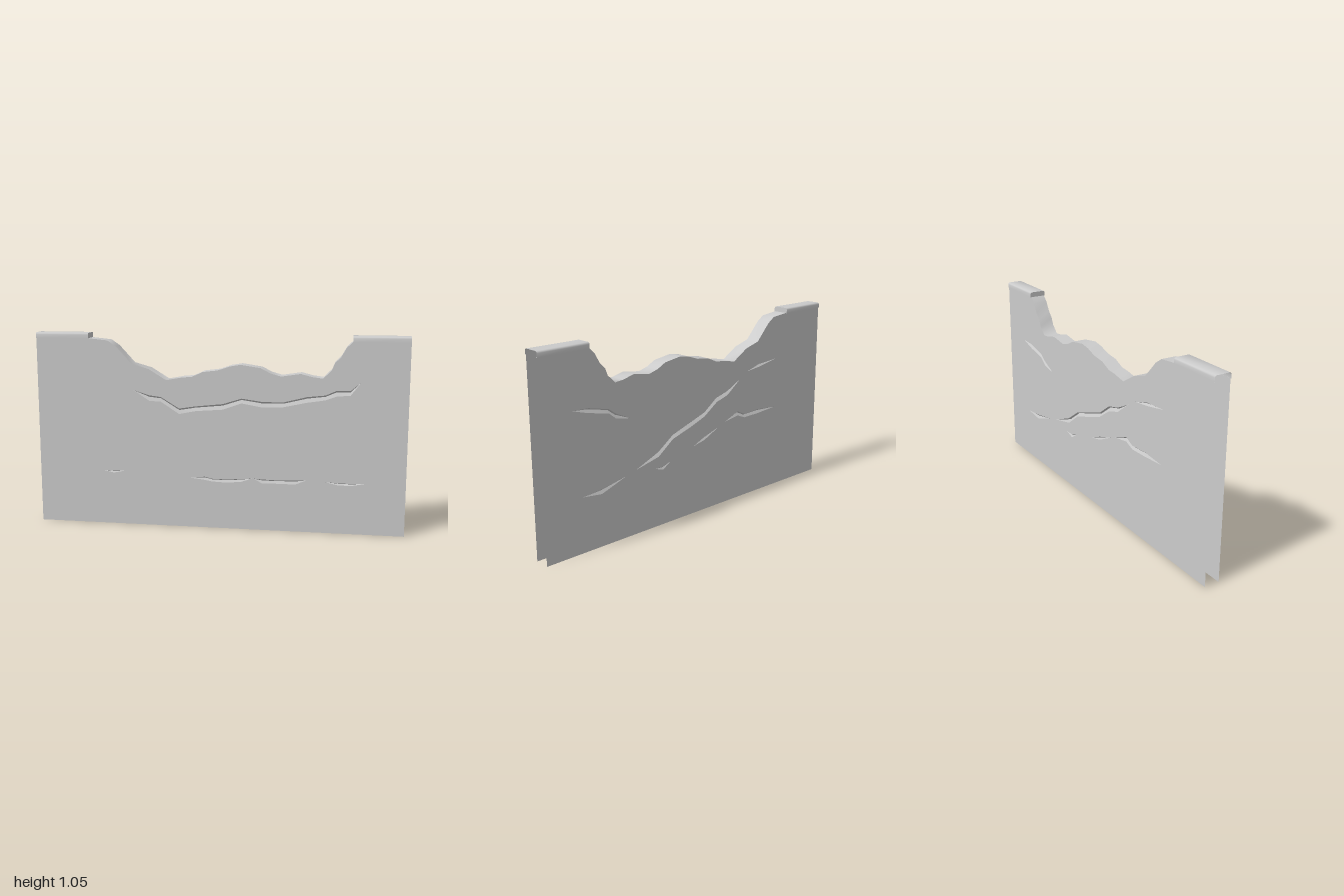
import * as THREE from 'three';
import { toCreasedNormals } from 'three/addons/utils/BufferGeometryUtils.js';

const FACE = 0.041; // half thickness of the wall
const TOP = 1.027;
const material = new THREE.MeshStandardMaterial({ color: 0xcccccc, side: THREE.DoubleSide });

// broken upper edge, left to right as [x, y]
const BROKEN = [
  [-0.71, TOP], [-0.6, 1.016], [-0.555, 0.985], [-0.47, 0.893], [-0.375, 0.866], [-0.28, 0.808],
  [-0.195, 0.824], [-0.14, 0.829], [-0.08, 0.856], [0, 0.866], [0.064, 0.888], [0.123, 0.898],
  [0.23, 0.882], [0.28, 0.856], [0.337, 0.84], [0.44, 0.856], [0.503, 0.84], [0.556, 0.834],
  [0.6, 0.877], [0.615, 0.914], [0.647, 0.947], [0.674, 0.995], [0.706, TOP],
];

// cracks: upper lip points by rising x, gap width and depth
const FRONT_CRACKS = [
  { width: 0.03, depth: 0.008, lip: [[-0.46, 0.75], [-0.375, 0.724], [-0.31, 0.716], [-0.21, 0.656],
    [-0.12, 0.67], [0.027, 0.686], [0.128, 0.718], [0.24, 0.703], [0.35, 0.703], [0.476, 0.735],
    [0.57, 0.745], [0.63, 0.772], [0.7, 0.772], [0.754, 0.818]] },
  { width: 0.018, depth: 0.006, lip: [[-0.15, 0.276], [-0.07, 0.285], [-0.03, 0.275], [0.05, 0.274],
    [0.13, 0.28], [0.185, 0.284]] },
  { width: 0.022, depth: 0.006, lip: [[0.195, 0.285], [0.24, 0.282], [0.3, 0.28], [0.42, 0.283], [0.48, 0.286]] },
  { width: 0.012, depth: 0.005, lip: [[0.575, 0.281], [0.65, 0.277], [0.72, 0.276], [0.8, 0.281]] },
  { width: 0.012, depth: 0.005, lip: [[-0.64, 0.301], [-0.58, 0.3], [-0.52, 0.301]] },
];
const BACK_CRACKS = [
  { width: 0.025, depth: 0.01, lip: [[0.463, 0.634], [0.557, 0.677], [0.6, 0.708], [0.723, 0.737], [0.817, 0.74]] },
  { width: 0.028, depth: 0.01, lip: [[-0.33, 0.7], [-0.23, 0.65], [-0.147, 0.63], [-0.053, 0.562],
    [0.047, 0.53], [0.18, 0.485], [0.28, 0.415], [0.435, 0.352]] },
  { width: 0.026, depth: 0.008, lip: [[0.5, 0.335], [0.657, 0.307], [0.778, 0.295]] },
  { width: 0.018, depth: 0.008, lip: [[-0.63, 0.772], [-0.496, 0.765], [-0.385, 0.734]] },
  { width: 0.018, depth: 0.006, lip: [[0.197, 0.342], [0.25, 0.326], [0.307, 0.326]] },
  { width: 0.018, depth: 0.006, lip: [[-0.163, 0.457], [-0.053, 0.423], [0.03, 0.387]] },
  { width: 0.024, depth: 0.008, lip: [[-0.623, 0.483], [-0.48, 0.496], [-0.368, 0.49], [-0.313, 0.516], [-0.208, 0.474]] },
];

// surface between two rows of [x, y, z] points
function ribbon(rowA, rowB) {
  const n = rowA.length;
  const index = [];
  for (let i = 0; i < n - 1; i++) index.push(i, i + 1, n + i, i + 1, n + i + 1, n + i);
  const geometry = new THREE.BufferGeometry();
  geometry.setAttribute('position', new THREE.Float32BufferAttribute([...rowA, ...rowB].flat(), 3));
  geometry.setIndex(index);
  geometry.computeVertexNormals();
  return geometry;
}

function addMesh(parent, geometry, name) {
  const mesh = new THREE.Mesh(geometry, material);
  mesh.name = name;
  parent.add(mesh);
  return mesh;
}

const toShapePoints = (points) => points.map(([x, y]) => new THREE.Vector2(x, y));
const flipX = (points) => points.map(([x, y]) => [-x, y]).reverse();

// one wall face at z = FACE, with cracks cut in as lopsided V grooves
function wallFace(edge, cracks, name) {
  const group = new THREE.Group();
  group.name = name;
  const shape = new THREE.Shape(toShapePoints([[-1, 0], [1, 0], [1, TOP], ...[...edge].reverse(), [-1, TOP]]));
  for (const { lip, width, depth } of cracks) {
    const last = lip.length - 1;
    const gap = (i) => (i === 0 || i === last ? 0 : width * (i % 2 ? 1 : 0.85));
    const lower = lip.map(([x, y], i) => [x, y - gap(i)]);
    shape.holes.push(new THREE.Path(toShapePoints([...lip, ...lower.slice(1, last).reverse()])));

    const top = lip.map(([x, y]) => [x, y, FACE]);
    const bottom = lower.map(([x, y]) => [x, y, FACE]);
    const deep = lip.map(([x, y], i) => [x, y - gap(i) * 0.3, FACE - (gap(i) ? depth : 0)]);
    addMesh(group, ribbon(bottom, deep), 'crackLowerSide');
    addMesh(group, ribbon(deep, top), 'crackUpperSide');
  }
  const sheet = new THREE.ShapeGeometry(shape);
  sheet.translate(0, 0, FACE);
  addMesh(group, sheet, 'wallSheet');
  return group;
}

// coping with rounded shoulders, open at its outer end and underneath
function coping(side) {
  const group = new THREE.Group();
  group.name = side > 0 ? 'leftCoping' : 'rightCoping';
  const half = [[FACE, 1.025], [0.046, 1.025], [0.046, 1.045], [0.044, 1.051], [0.038, 1.055]];
  const profile = [...half, ...half.map(([z, y]) => [-z, y]).reverse()];
  const [low, high] = side > 0 ? [0.706, 1] : [-1, -0.706];
  const row = (x) => profile.map(([z, y]) => [x, y, z]);
  addMesh(group, toCreasedNormals(ribbon(row(high), row(low)), 0.9), 'copingShell');

  const end = addMesh(group, new THREE.ShapeGeometry(new THREE.Shape(toShapePoints(profile))), 'copingInnerEnd');
  end.rotation.y = -side * Math.PI / 2;
  end.position.x = side * 0.706;
  return group;
}

export function createModel() {
  const model = new THREE.Group();
  model.name = 'brokenWall';

  model.add(wallFace(BROKEN, FRONT_CRACKS, 'frontFace'));

  // the back is built facing forward, then turned round
  const turned = BACK_CRACKS.map((crack) => ({ ...crack, lip: flipX(crack.lip) }));
  const back = wallFace(flipX(BROKEN), turned, 'backFace');
  back.rotation.y = Math.PI;
  model.add(back);

  // rubble edge joining the two faces
  const rim = (z) => BROKEN.map(([x, y]) => [x, y, z]);
  addMesh(model, ribbon(rim(FACE), rim(-FACE)), 'brokenEdge');

  for (const side of [1, -1]) model.add(coping(side));
  return model;
}
